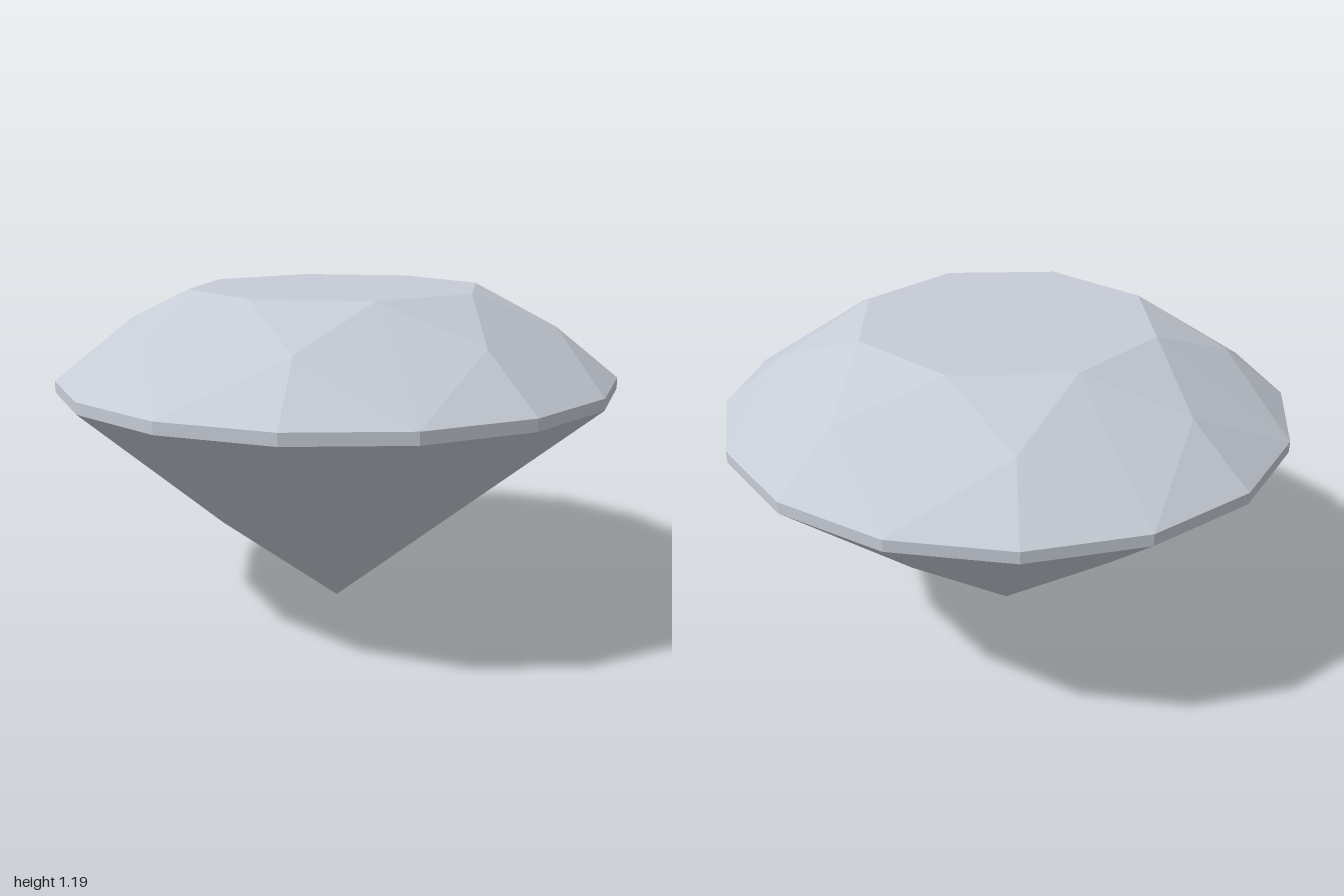
import * as THREE from 'three';

// Point on a ring; step counts sixteenths of a turn
const at = (r, y, step) => {
  const a = (step * Math.PI) / 8;
  return [r * Math.cos(a), y, r * Math.sin(a)];
};

// Corner points of each tier
const table = (s) => at(0.53, 1.19, s);
const star = (s) => at(0.78, 1.06, s);
const girdleTop = (s) => at(1, 0.885, s);
const girdleBase = (s) => at(1, 0.845, s);
const lower = (s) => at(0.49, 0.39, s);
const culet = [0, 0, 0];

// Flat facets from convex polygons, each turned to face away from the stone's middle
function facets(name, polygons, material) {
  const positions = [];
  const middle = new THREE.Vector3(0, 0.8, 0);
  for (const polygon of polygons) {
    const pts = polygon.map((p) => new THREE.Vector3(...p));
    for (let i = 1; i < pts.length - 1; i++) {
      const tri = new THREE.Triangle(pts[0], pts[i], pts[i + 1]);
      const outward = tri.getNormal(new THREE.Vector3()).dot(pts[0].clone().sub(middle)) > 0;
      const order = outward ? [tri.a, tri.b, tri.c] : [tri.a, tri.c, tri.b];
      order.forEach((v) => positions.push(v.x, v.y, v.z));
    }
  }
  const geometry = new THREE.BufferGeometry();
  geometry.setAttribute('position', new THREE.Float32BufferAttribute(positions, 3));
  geometry.computeVertexNormals();
  const mesh = new THREE.Mesh(geometry, material);
  mesh.name = name;
  return mesh;
}

export function createModel() {
  const gem = new THREE.MeshStandardMaterial({ color: 0xc6ccd6, flatShading: true });
  gem.name = 'pale crystal';

  const tableTop = [[]];
  const crown = [];
  const girdle = [];
  const pavilion = [];

  // Eight repeats: even steps hold star corners, odd steps hold table corners
  for (let s = 0; s < 16; s += 2) {
    tableTop[0].push(table(s + 1));
    crown.push(
      [table(s - 1), table(s + 1), star(s)], // star facet
      [table(s + 1), star(s), girdleTop(s + 1), star(s + 2)], // kite facet
      [star(s), girdleTop(s - 1), girdleTop(s)], // upper girdle pair
      [star(s), girdleTop(s), girdleTop(s + 1)],
    );
    pavilion.push(
      [culet, lower(s), girdleBase(s + 1), lower(s + 2)], // main facet
      [lower(s), girdleBase(s - 1), girdleBase(s)], // lower girdle pair
      [lower(s), girdleBase(s), girdleBase(s + 1)],
    );
  }
  for (let s = 0; s < 16; s++) {
    girdle.push([girdleBase(s), girdleBase(s + 1), girdleTop(s + 1), girdleTop(s)]);
  }

  const group = new THREE.Group();
  group.name = 'cutGem';
  group.add(
    facets('table', tableTop, gem),
    facets('crown', crown, gem),
    facets('girdle', girdle, gem),
    facets('pavilion', pavilion, gem),
  );
  return group;
}
